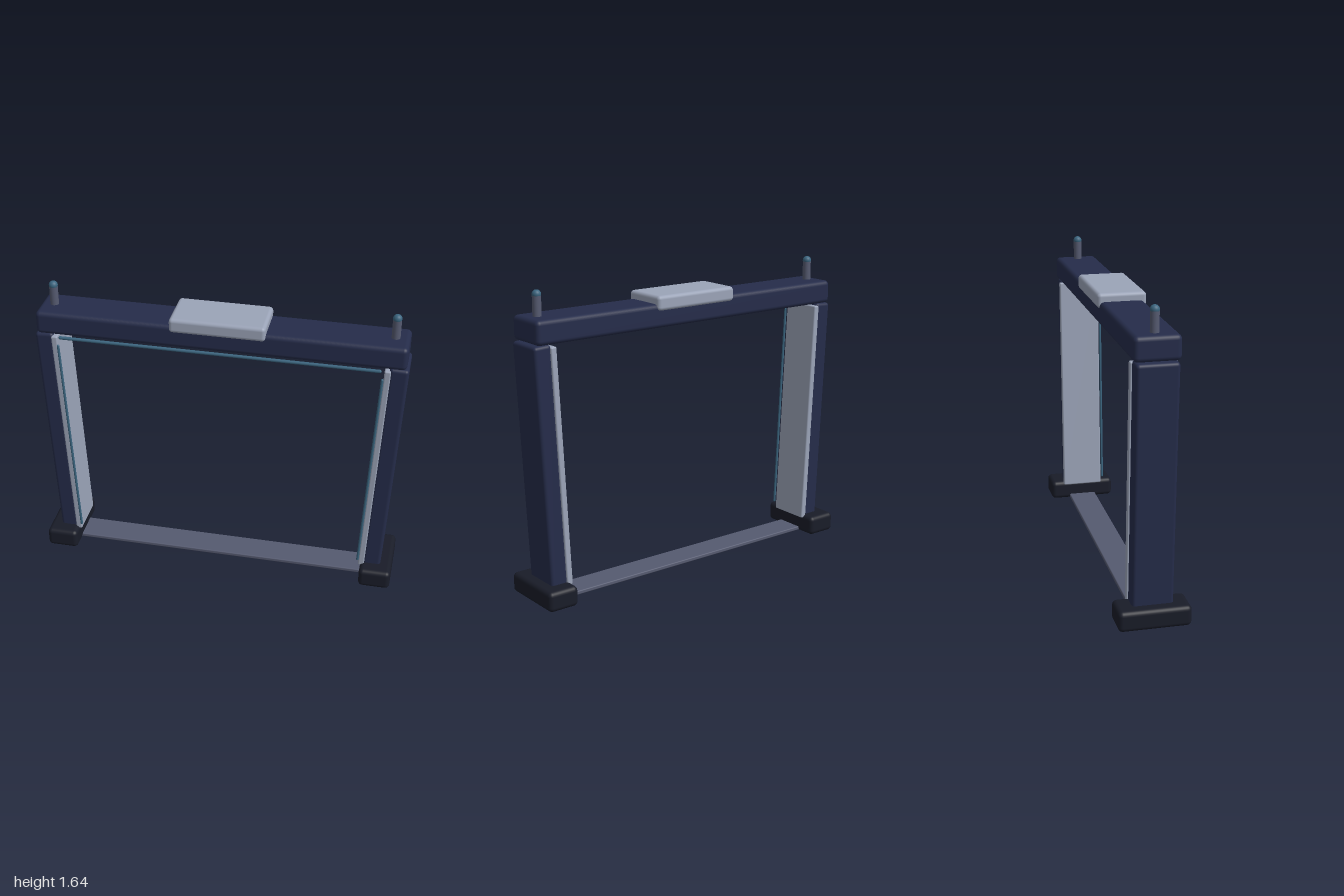
import * as THREE from 'three';
import { RoundedBoxGeometry } from 'three/addons/geometries/RoundedBoxGeometry.js';

const paint = (color) => new THREE.MeshStandardMaterial({ color });

export function createModel() {
  const model = new THREE.Group();
  model.name = 'scannerGate';
  const navy = paint(0x252c4a), rubber = paint(0x191c28), pale = paint(0x9ba4b8);
  const teal = paint(0x3a647e), steel = paint(0x555a70);

  function add(parent, name, geometry, material, x, y, z = 0) {
    const mesh = new THREE.Mesh(geometry, material);
    mesh.name = name;
    mesh.position.set(x, y, z);
    parent.add(mesh);
    return mesh;
  }
  const box = (w, h, d, r) => new RoundedBoxGeometry(w, h, d, 3, r);

  // Crossbeam, its top housing and the light strip along its lower front edge
  add(model, 'crossbeam', box(1.97, 0.128, 0.238, 0.025), navy, 0, 1.447);
  add(model, 'topHousing', box(0.51, 0.08, 0.262, 0.02), pale, 0, 1.515);
  const strip = add(model, 'beamLight', new THREE.CapsuleGeometry(0.009, 1.7, 4, 12), teal, 0, 1.374, 0.122);
  strip.rotation.z = Math.PI / 2;

  // Threshold plate between the feet
  add(model, 'thresholdPlate', box(1.7, 0.022, 0.16, 0.006), steel, 0, 0.016);

  for (const side of [1, -1]) {
    const half = new THREE.Group();
    half.name = side > 0 ? 'leftSide' : 'rightSide';
    model.add(half);
    const lean = -0.048 * side;

    add(half, 'foot', box(0.176, 0.11, 0.38, 0.025), rubber, side * 0.912, 0.055);

    // Leaning post with an inner panel and a thin light on the front edge
    add(half, 'post', box(0.1, 1.32, 0.216, 0.018), navy, side * 0.916, 0.722).rotation.z = lean;
    add(half, 'innerPanel', box(0.034, 1.28, 0.234, 0.008), pale, side * 0.859, 0.732).rotation.z = lean;
    add(half, 'postLight', new THREE.CapsuleGeometry(0.007, 1.185, 4, 12), teal,
      side * 0.837, 0.732, 0.124).rotation.z = lean;

    // Beacon on top of the beam
    add(half, 'beaconStem', new THREE.CylinderGeometry(0.023, 0.023, 0.13, 20), steel, side * 0.91, 1.555);
    add(half, 'beaconLamp', new THREE.SphereGeometry(0.024, 20, 14), teal, side * 0.91, 1.621);
  }
  return model;
}
